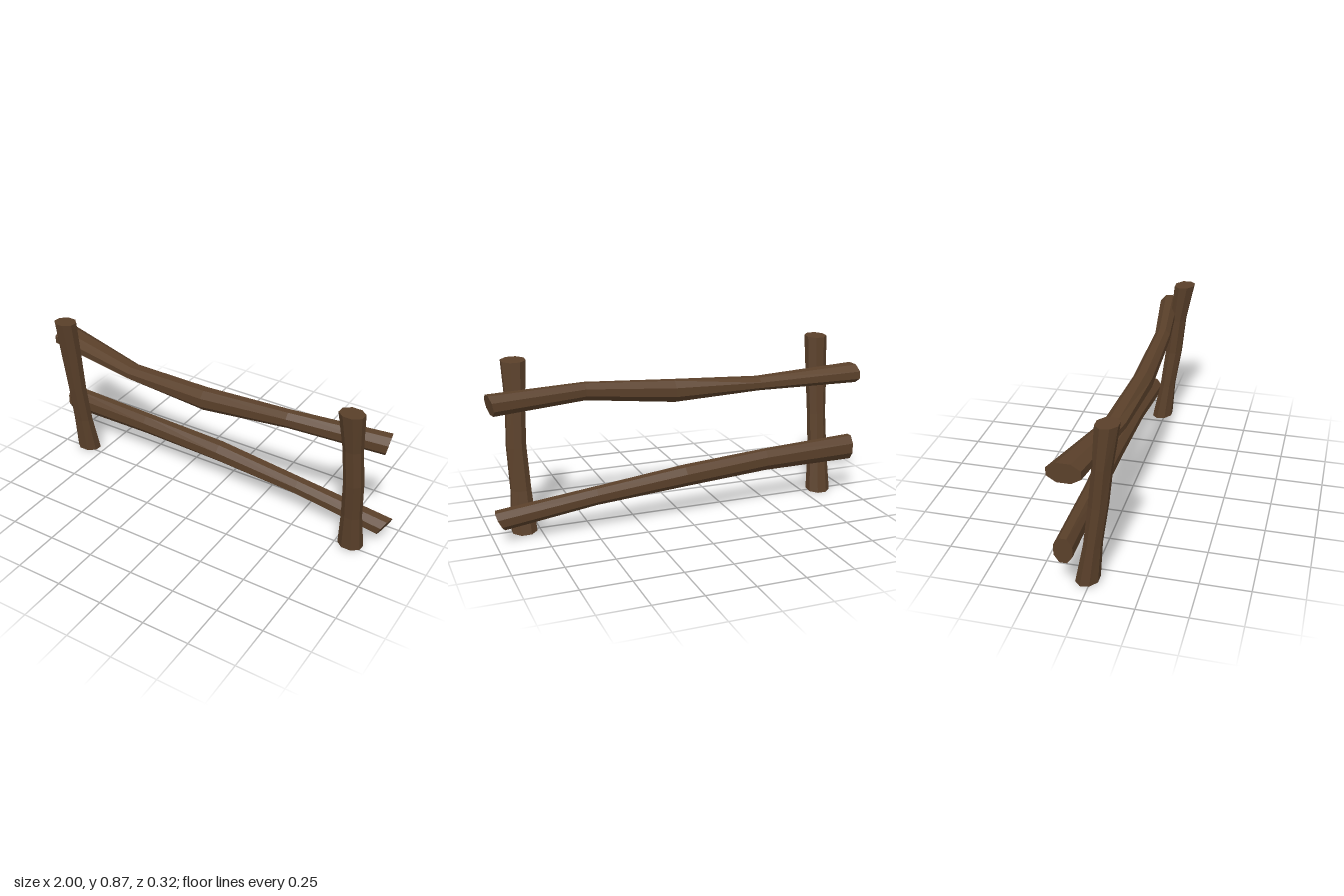
import * as THREE from 'three';

const SIDES = 8;
const wood = new THREE.MeshStandardMaterial({ color: 0x5a402a, flatShading: true });

// Hewn log lofted through octagonal rings. Each ring has a centre c, half sizes
// r along axes u and v (u x v = log direction), and a cut: slope of the end plane.
function makeLog(name, rings, u, v, axis) {
  const pos = [], index = [];
  const addRing = ({ c, r, cut = [0, 0] }) => {
    for (let i = 0; i < SIDES; i++) {
      const t = ((i + 0.5) / SIDES) * Math.PI * 2;
      const k = 1 / Math.cos(Math.PI / SIDES);
      const a = Math.cos(t) * r[0] * k, b = Math.sin(t) * r[1] * k;
      const p = new THREE.Vector3(...c)
        .addScaledVector(u, a)
        .addScaledVector(v, b)
        .addScaledVector(axis, a * cut[0] + b * cut[1]);
      pos.push(p.x, p.y, p.z);
    }
  };
  rings.forEach(addRing);
  for (let j = 0; j < rings.length - 1; j++) {
    for (let i = 0; i < SIDES; i++) {
      const a = j * SIDES + i, b = j * SIDES + ((i + 1) % SIDES);
      index.push(a, b, b + SIDES, a, b + SIDES, a + SIDES);
    }
  }
  // End caps
  const last = (rings.length - 1) * SIDES;
  for (let i = 1; i < SIDES - 1; i++) {
    index.push(0, i + 1, i, last, last + i, last + i + 1);
  }
  const geo = new THREE.BufferGeometry();
  geo.setAttribute('position', new THREE.Float32BufferAttribute(pos, 3));
  geo.setIndex(index);
  geo.computeVertexNormals();
  const mesh = new THREE.Mesh(geo, wood);
  mesh.name = name;
  return mesh;
}

const X = new THREE.Vector3(1, 0, 0);
const Y = new THREE.Vector3(0, 1, 0);
const Z = new THREE.Vector3(0, 0, 1);
const rail = (name, rings) => makeLog(name, rings, Y, Z, X);
const post = (name, rings) => makeLog(name, rings, Z, X, Y);

export function createModel() {
  const group = new THREE.Group();
  group.name = 'fence';

  // Rails: half sizes are [height, depth]
  group.add(rail('upperRail', [
    { c: [-1, 0.68, -0.065], r: [0.049, 0.08] },
    { c: [-0.47, 0.645, 0.025], r: [0.035, 0.054] },
    { c: [0, 0.643, 0.05], r: [0.057, 0.05] },
    { c: [0.48, 0.686, 0.05], r: [0.044, 0.041] },
    { c: [0.975, 0.677, -0.016], r: [0.052, 0.049], cut: [0.2, 0.2] },
  ]));
  group.add(rail('lowerRail', [
    { c: [-0.99, 0.262, -0.085], r: [0.066, 0.045] },
    { c: [-0.47, 0.25, -0.09], r: [0.055, 0.044] },
    { c: [0, 0.223, -0.105], r: [0.052, 0.053] },
    { c: [0.48, 0.178, -0.107], r: [0.043, 0.048] },
    { c: [0.97, 0.116, -0.107], r: [0.046, 0.053], cut: [0.5, -0.2] },
  ]));

  // Leaning posts: half sizes are [depth, width]
  group.add(post('leftPost', [
    { c: [-0.843, 0.008, -0.015], r: [0.056, 0.062], cut: [0.12, 0] },
    { c: [-0.848, 0.22, 0.015], r: [0.042, 0.05] },
    { c: [-0.848, 0.44, 0.045], r: [0.045, 0.047] },
    { c: [-0.85, 0.65, 0.068], r: [0.045, 0.054] },
    { c: [-0.85, 0.865, 0.093], r: [0.054, 0.056], cut: [0.08, 0] },
  ]));
  group.add(post('rightPost', [
    { c: [0.833, 0.008, -0.014], r: [0.056, 0.062], cut: [0.12, 0] },
    { c: [0.835, 0.22, 0.015], r: [0.041, 0.05] },
    { c: [0.842, 0.44, 0.046], r: [0.045, 0.048] },
    { c: [0.832, 0.65, 0.07], r: [0.043, 0.047] },
    { c: [0.825, 0.865, 0.104], r: [0.054, 0.06], cut: [0.08, 0] },
  ]));

  return group;
}
